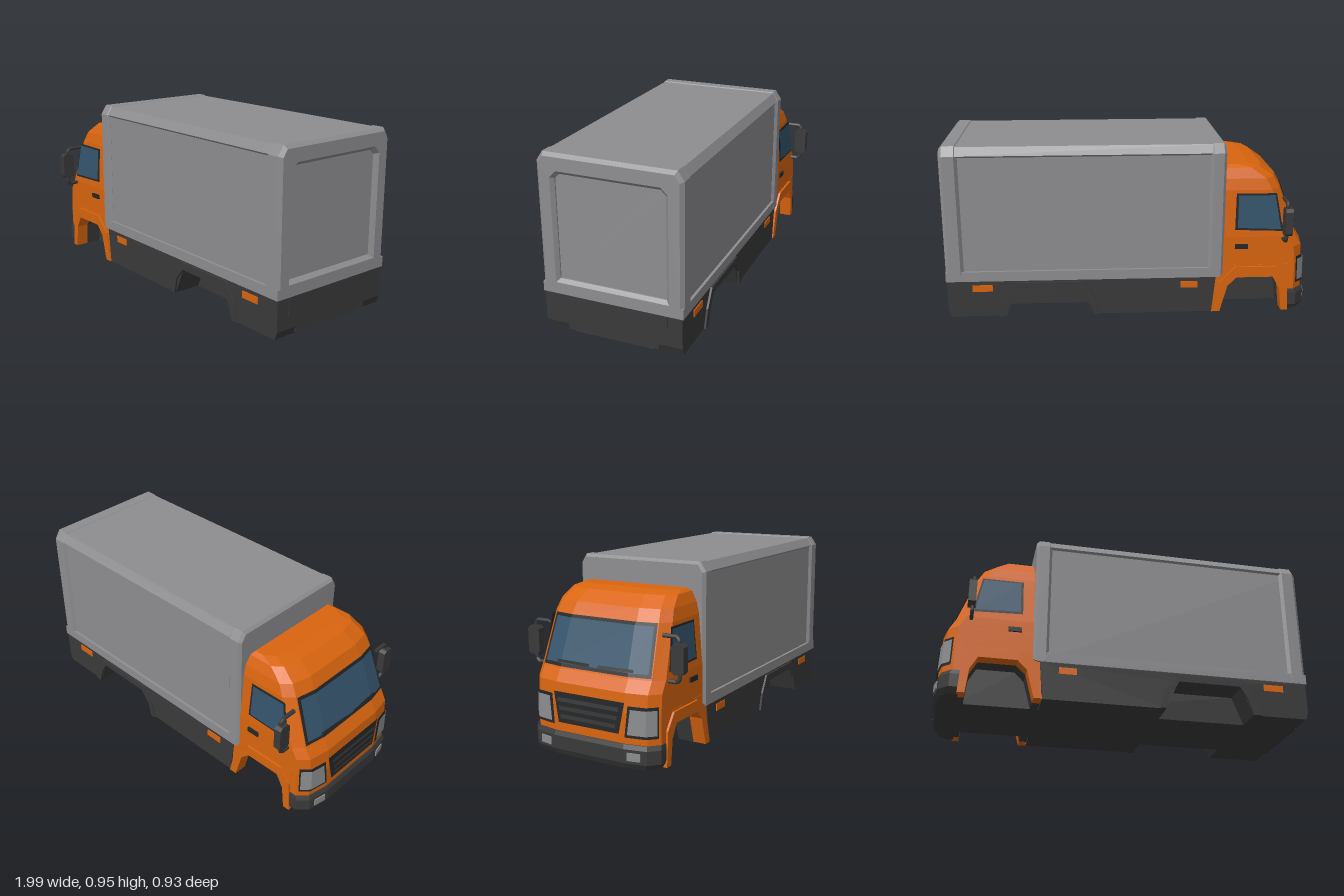
import * as THREE from 'three';

const mat = (name, color) => {
  const m = new THREE.MeshStandardMaterial({ color, side: THREE.DoubleSide });
  m.name = name;
  return m;
};

// cab outline by height: [y, front x, half width, back x]
const CAB = [
  [0.12, -0.985, 0.37, -0.83], [0.27, -0.985, 0.37, -0.47], [0.38, -0.975, 0.37, -0.48],
  [0.44, -0.94, 0.37, -0.49], [0.7, -0.845, 0.35, -0.505], [0.76, -0.812, 0.337, -0.51],
  [0.815, -0.735, 0.315, -0.52], [0.83, -0.66, 0.29, -0.53],
];
// how far the nose curves back, by fraction of the half width
const BEND = [[0, 0], [0.55, 0.008], [0.87, 0.03], [1, 0.08]];

function lerpTable(table, t, col) {
  let i = 0;
  while (i < table.length - 2 && t > table[i + 1][0]) i++;
  const a = table[i], b = table[i + 1];
  return a[col] + (b[col] - a[col]) * (t - a[0]) / (b[0] - a[0]);
}
const frontX = (y, z) => lerpTable(CAB, y, 1) + lerpTable(BEND, Math.abs(z) / lerpTable(CAB, y, 2), 1);

function geometryOf(p) {
  const g = new THREE.BufferGeometry();
  g.setAttribute('position', new THREE.Float32BufferAttribute(p.flat(), 3));
  g.computeVertexNormals();
  return g;
}

// closed skin over equal-length rings, turned to face outwards
function loft(rings) {
  const tris = [], n = rings[0].length, last = rings[rings.length - 1];
  for (let r = 0; r < rings.length - 1; r++) {
    for (let i = 0; i < n; i++) {
      const j = (i + 1) % n, a = rings[r], b = rings[r + 1];
      tris.push([a[i], a[j], b[j]], [a[i], b[j], b[i]]);
    }
  }
  for (let i = 1; i < n - 1; i++) {
    tris.push([rings[0][0], rings[0][i + 1], rings[0][i]], [last[0], last[i], last[i + 1]]);
  }
  let volume = 0;
  for (const t of tris) {
    const [a, b, c] = t.map((p) => new THREE.Vector3(...p));
    volume += a.dot(b.cross(c));
  }
  if (volume < 0) tris.forEach((t) => t.reverse());
  return geometryOf(tris.flat());
}

// plan outline with a rounded nose
function planRing([y, xf, w, xb]) {
  const half = BEND.slice(1).map(([u, d]) => [xf + d, y, u * w]);
  half.push([xb, y, w]);
  return [...half, ...half.map(([x, yy, z]) => [x, yy, -z]).reverse()];
}

const shapeOf = (pts) => new THREE.Shape(pts.map(([x, y]) => new THREE.Vector2(x, y)));

export function createModel() {
  const truck = new THREE.Group();
  truck.name = 'boxTruck';
  const orange = mat('orangePaint', 0xd9650f);
  const grey = mat('cargoGrey', 0x8e8e91);
  const dark = mat('darkPlastic', 0x3a3a3a);
  const black = mat('blackTrim', 0x242628);
  const glass = mat('blueGlass', 0x35546c);
  const lamp = mat('lampGrey', 0x8b8d8e);

  const add = (name, geo, m) => {
    const mesh = new THREE.Mesh(geo, m);
    mesh.name = name;
    truck.add(mesh);
    return mesh;
  };
  const box = (name, m, x0, x1, y0, y1, z0, z1) => {
    const g = new THREE.BoxGeometry(x1 - x0, y1 - y0, z1 - z0);
    return add(name, g.translate((x0 + x1) / 2, (y0 + y1) / 2, (z0 + z1) / 2), m);
  };
  const boxPair = (name, m, x0, x1, y0, y1, z0, z1) => {
    box(name + 'A', m, x0, x1, y0, y1, z0, z1);
    box(name + 'B', m, x0, x1, y0, y1, -z1, -z0);
  };
  const sidePair = (name, m, pts, z0, z1) => {
    for (const s of [1, -1]) {
      const g = new THREE.ExtrudeGeometry(shapeOf(pts), { depth: z1 - z0, bevelEnabled: false });
      add(name + (s > 0 ? 'A' : 'B'), g.translate(0, 0, s > 0 ? z0 : -z1), m);
    }
  };
  // thin plate following the curved nose
  const nosePlate = (name, m, y0, y1, zLow, zHigh, off) => {
    const tris = [], pt = (y, z) => [frontX(y, z) - off, y, z];
    for (let i = 0; i < zLow.length - 1; i++) {
      const a = pt(y0, zLow[i]), b = pt(y0, zLow[i + 1]);
      const c = pt(y1, zHigh[i + 1]), d = pt(y1, zHigh[i]);
      tris.push(a, b, c, a, c, d);
    }
    add(name, geometryOf(tris), m);
  };
  // thin plate on both cab sides, leaning with the doors
  const doorPlate = (name, m, pts, off) => {
    for (const s of [1, -1]) {
      const p = pts.map(([x, y]) => [x, y, s * (lerpTable(CAB, y, 2) + off)]);
      const t = [p[0], p[1], p[2], p[0], p[2], p[3]];
      add(name + (s > 0 ? 'A' : 'B'), geometryOf(s > 0 ? t : t.reverse()), m);
    }
  };

  // cargo body: recessed core, end frames, sill
  const section = [[0.367, 0.22], [0.367, 0.9], [0.378, 0.91], [0.35, 0.955]];
  const ring = [...section, ...section.map(([z, y]) => [-z, y]).reverse()];
  add('cargoCore', loft([-0.48, 0.975].map((x) => ring.map(([z, y]) => [x, y, z]))), grey);
  const frame = (name, x0, x1, bevel, opening) => {
    const s = shapeOf([[-0.383, 0.22], [0.383, 0.22], [0.383, 0.91], [0.35, 0.96], [-0.35, 0.96], [-0.383, 0.91]]);
    if (opening) {
      s.holes.push(shapeOf([[-0.29, 0.295], [-0.29, 0.83], [-0.265, 0.855], [0.265, 0.855], [0.29, 0.83], [0.29, 0.295]]));
    }
    const g = new THREE.ExtrudeGeometry(s, {
      depth: x1 - x0 - 2 * bevel, bevelThickness: bevel, bevelSize: bevel, bevelOffset: -bevel, bevelSegments: 1,
    });
    add(name, g.rotateY(Math.PI / 2).translate(x0 + bevel, 0, 0), grey);
  };
  frame('cargoFrontFrame', -0.51, -0.425, 0.015, false);
  frame('cargoRearFrame', 0.9, 1, 0.018, true);
  box('cargoSill', grey, -0.485, 1, 0.215, 0.27, -0.382, 0.382);

  // dark skirt with rear wheel pockets
  box('chassisCore', dark, -0.47, 0.99, 0.01, 0.218, -0.22, 0.22);
  sidePair('skirt', dark, [[-0.45, 0.01], [0.2, 0.01], [0.27, 0.165], [0.62, 0.165], [0.68, 0.01],
    [0.98, 0.01], [0.995, 0.05], [0.995, 0.218], [-0.47, 0.218]], 0.21, 0.376);
  box('rearSkirt', dark, 0.97, 0.995, 0.02, 0.218, -0.25, 0.25);
  box('rearStep', dark, 0.99, 0.999, 0.11, 0.216, -0.3, 0.3);
  sidePair('rearArch', dark, [[0.17, 0.01], [0.2, 0.01], [0.22, 0.1], [0.275, 0.165], [0.61, 0.165], [0.65, 0.1],
    [0.68, 0.01], [0.72, 0.01], [0.69, 0.11], [0.63, 0.205], [0.25, 0.205], [0.195, 0.11]], 0.37, 0.387);
  boxPair('frontMarker', orange, -0.37, -0.275, 0.155, 0.192, 0.37, 0.381);
  boxPair('rearMarker', orange, 0.75, 0.86, 0.155, 0.192, 0.37, 0.381);

  // cab shell, nose and front wheel housings
  add('cabShell', loft(CAB.slice(1).map(planRing)), orange);
  add('nose', loft([CAB[0], [0.28, -0.985, 0.37, -0.83]].map(planRing)), orange);
  const arch = [[-0.84, 0.01], [-0.825, 0.14], [-0.785, 0.21], [-0.585, 0.21], [-0.535, 0.16], [-0.495, 0.01]];
  const panel = [[-0.87, 0.28], [-0.87, 0.01], ...arch, [-0.455, 0.01], [-0.47, 0.28]];
  sidePair('cabLowerPanel', orange, panel, 0.31, 0.371);
  sidePair('wheelHousing', dark, panel, 0.2, 0.311);
  sidePair('frontFender', orange, [...arch, [-0.45, 0.01], [-0.49, 0.18], [-0.575, 0.27], [-0.805, 0.27],
    [-0.865, 0.19], [-0.878, 0.01]], 0.35, 0.383);
  box('cabFloor', dark, -0.88, -0.46, 0.01, 0.28, -0.22, 0.22);

  // bumper and fog lamps
  add('bumper', loft([[0.01, -0.985, 0.36, -0.87], [0.04, -1, 0.377, -0.87],
    [0.11, -1, 0.377, -0.87], [0.132, -0.99, 0.373, -0.87]].map(planRing)), dark);
  for (const s of [1, -1]) {
    const f = box('fogLamp', lamp, -0.006, 0.006, 0.055, 0.095, -0.035, 0.035);
    f.position.set(-0.982, 0, s * 0.262);
    f.rotation.y = s * 0.19;
  }

  // nose details
  nosePlate('grille', black, 0.18, 0.335, [-0.18, 0.18], [-0.21, 0.21], 0.009);
  for (let i = 0; i < 3; i++) {
    const y = 0.205 + i * 0.042, w = 0.165 + i * 0.008;
    nosePlate('grilleBar' + i, dark, y, y + 0.02, [-w, w], [-w, w], 0.013);
  }
  for (const s of [1, -1]) {
    const z = (list) => list.map((v) => v * s).sort((a, b) => a - b);
    nosePlate('lampSurround', black, 0.165, 0.32, z([0.21, 0.32, 0.363]), z([0.225, 0.32, 0.363]), 0.006);
    nosePlate('headlamp', lamp, 0.18, 0.305, z([0.225, 0.32, 0.36]), z([0.24, 0.32, 0.36]), 0.01);
  }
  nosePlate('windscreenTrim', black, 0.45, 0.7, [-0.32, -0.2, 0.2, 0.32], [-0.302, -0.19, 0.19, 0.302], 0.005);
  nosePlate('windscreen', glass, 0.468, 0.685, [-0.305, -0.2, 0.2, 0.305], [-0.288, -0.19, 0.19, 0.288], 0.009);
  for (const z of [-0.22, 0.03]) {
    nosePlate('wiper', black, 0.472, 0.486, [z, z + 0.2], [z, z + 0.2], 0.016);
  }

  // doors
  doorPlate('sideWindowTrim', black, [[-0.832, 0.472], [-0.568, 0.482], [-0.572, 0.682], [-0.79, 0.682]], 0.004);
  doorPlate('sideWindow', glass, [[-0.818, 0.484], [-0.582, 0.494], [-0.584, 0.672], [-0.782, 0.672]], 0.008);
  boxPair('doorHandle', black, -0.64, -0.57, 0.375, 0.4, 0.365, 0.38);

  // mirrors on bent arms
  for (const s of [1, -1]) {
    const head = [[0.395, 0.485], [0.41, 0.47], [0.45, 0.47], [0.465, 0.485], [0.465, 0.605], [0.45, 0.62], [0.41, 0.62], [0.395, 0.605]];
    add('mirrorHead', loft([-0.86, -0.82].map((x) => head.map(([z, y]) => [x, y, s * z]))), dark);
    const path = new THREE.CurvePath();
    const pts = [[0.34, 0.65], [0.415, 0.65], [0.431, 0.632], [0.431, 0.445], [0.415, 0.43], [0.35, 0.43]]
      .map(([z, y]) => new THREE.Vector3(-0.835, y, s * z));
    for (let i = 0; i < pts.length - 1; i++) path.add(new THREE.LineCurve3(pts[i], pts[i + 1]));
    add('mirrorArm', new THREE.TubeGeometry(path, 40, 0.011, 6), dark);
  }
  return truck;
}
